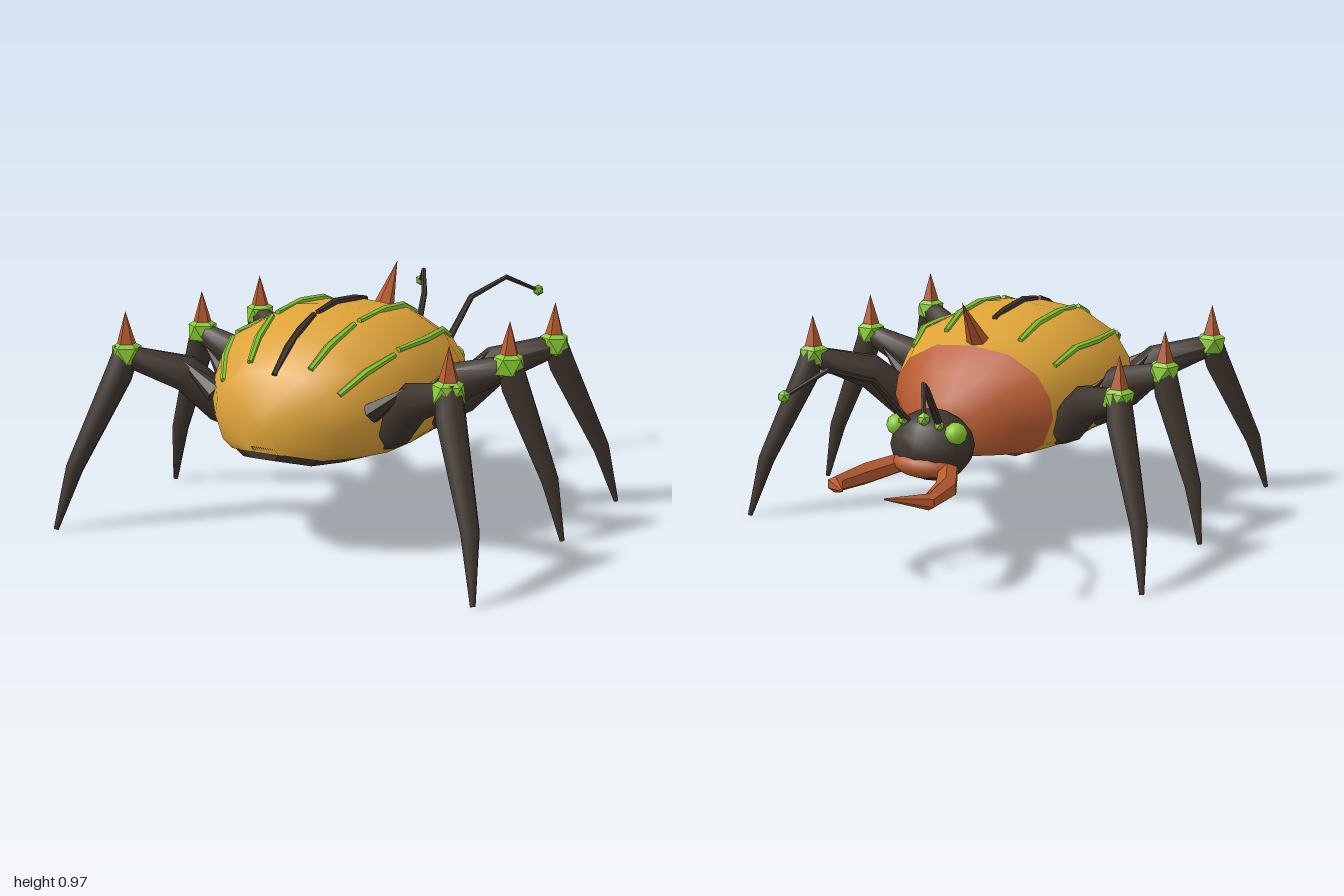
import * as THREE from 'three';
import { toCreasedNormals } from 'three/addons/utils/BufferGeometryUtils.js';

const V = (x, y, z) => new THREE.Vector3(x, y, z);
const mat = (name, color) => {
  const m = new THREE.MeshStandardMaterial({ color });
  m.name = name;
  return m;
};

// Skin closed loops of points (counter-clockwise about the path) and cap both ends
function skin(rings, crease) {
  const n = rings[0].length, pos = [], idx = [];
  rings.forEach(r => r.forEach(p => pos.push(p.x, p.y, p.z)));
  for (let i = 0; i < rings.length - 1; i++) {
    for (let j = 0; j < n; j++) {
      const k = (j + 1) % n, a = i * n + j, b = i * n + k, c = a + n, d = b + n;
      idx.push(a, b, d, a, d, c);
    }
  }
  [0, rings.length - 1].forEach(i => {
    const c = rings[i].reduce((s, p) => s.add(p), V(0, 0, 0)).divideScalar(n);
    const ci = pos.length / 3;
    pos.push(c.x, c.y, c.z);
    for (let j = 0; j < n; j++) {
      const a = i * n + j, b = i * n + (j + 1) % n;
      idx.push(ci, ...(i === 0 ? [b, a] : [a, b]));
    }
  });
  const g = new THREE.BufferGeometry();
  g.setAttribute('position', new THREE.Float32BufferAttribute(pos, 3));
  g.setIndex(idx);
  return toCreasedNormals(g, crease);
}

// Tapered, jointed tube through points
function limb(points, radii, sides, ref, crease = 0.6) {
  const rings = points.map((p, i) => {
    const prev = points[Math.max(i - 1, 0)], next = points[Math.min(i + 1, points.length - 1)];
    const t = next.clone().sub(prev).normalize();
    const u = ref.clone().cross(t).normalize(), v = t.clone().cross(u);
    return Array.from({ length: sides }, (_, j) => {
      const a = j / sides * Math.PI * 2;
      return p.clone().addScaledVector(u, Math.cos(a) * radii[i]).addScaledVector(v, Math.sin(a) * radii[i]);
    });
  });
  return skin(rings, crease);
}

// Body stations: z, half width, top, bottom
const BODY = [
  [-0.30, 0.14, 0.60, 0.39], [-0.20, 0.26, 0.70, 0.38], [-0.09, 0.365, 0.78, 0.37],
  [0.13, 0.45, 0.86, 0.365], [0.35, 0.455, 0.875, 0.36], [0.52, 0.44, 0.85, 0.36],
  [0.66, 0.37, 0.79, 0.365], [0.79, 0.27, 0.69, 0.375], [0.87, 0.08, 0.55, 0.40],
];
// Half cross-section of the dome: fraction of width, fraction of height
const DOME = [[0.73, 0], [0.88, 0.1], [1, 0.38], [0.96, 0.58], [0.8, 0.79], [0.45, 0.96], [0, 1]];

function domeRing([z, w, top, bot]) {
  const half = DOME.map(([x, y]) => V(x * w, bot + y * (top - bot), z));
  return [...half, ...half.slice(0, -1).reverse().map(p => V(-p.x, p.y, z))];
}

// Height of the dome above a point, so stripes follow the shell
function domeY(x, z) {
  const i = Math.max(1, BODY.findIndex(s => s[0] >= z));
  const a = BODY[i - 1], b = BODY[i], t = (z - a[0]) / (b[0] - a[0]);
  const [, w, top, bot] = a.map((v, k) => v + (b[k] - v) * t);
  const f = Math.abs(x) / w;
  let k = DOME.length - 1;
  while (k > 4 && DOME[k - 1][0] < f) k--;
  const p = DOME[k], q = DOME[k - 1];
  const h = p[1] + (q[1] - p[1]) * (f - p[0]) / (q[0] - p[0]);
  return bot + h * (top - bot);
}

export function createModel() {
  const model = new THREE.Group();
  model.name = 'beetle';
  const amber = mat('amber shell', 0xdea338);
  const rust = mat('rust horn', 0xb85c30);
  const dark = mat('dark brown', 0x40362f);
  const lime = mat('lime', 0x8acb35);
  const X = V(1, 0, 0), Z = V(0, 0, 1);

  const add = (name, geo, material, parent = model) => {
    const m = new THREE.Mesh(geo, material);
    m.name = name;
    parent.add(m);
    return m;
  };
  const spike = (name, base, tip, r, sides, material, parent) => {
    const d = tip.clone().sub(base);
    const g = toCreasedNormals(new THREE.ConeGeometry(r, d.length(), sides), 0.5);
    const m = add(name, g, material, parent);
    m.position.copy(base).addScaledVector(d, 0.5);
    m.quaternion.setFromUnitVectors(V(0, 1, 0), d.normalize());
  };
  // Faceted bead with one corner pointing straight up
  const bead = (name, p, r, material, detail = 0, parent = model) => {
    const g = new THREE.IcosahedronGeometry(r, detail).rotateX(-1.0172);
    add(name, g, material, parent).position.copy(p);
  };
  const ellipsoid = (name, p, s, material) => {
    const m = add(name, new THREE.SphereGeometry(1, 12, 8), material);
    m.position.copy(p);
    m.scale.copy(s);
  };

  // Body
  add('thorax', skin(BODY.slice(0, 3).map(domeRing), 0.8), rust);
  add('shell', skin(BODY.slice(2).map(domeRing), 0.8), amber);
  add('belly', skin(BODY.slice(2).map(([z, w, , b]) => [
    V(0.77 * w, b + 0.02, z), V(-0.77 * w, b + 0.02, z),
    V(-0.55 * w, b - 0.025, z), V(0.55 * w, b - 0.025, z),
  ]), 0.4), dark);
  spike('backHorn', V(0, 0.77, -0.03), V(0, 0.97, -0.17), 0.05, 6, rust);

  // Raised stripes on the shell, given as x, z pairs
  const stripe = (name, pts, material, r = 0.015) =>
    add(name, limb(pts.map(([x, z]) => V(x, domeY(x, z) + 0.006, z)),
      pts.map((_, i) => (i === 0 || i === pts.length - 1) ? r * 0.75 : r), 6, X), material);
  stripe('ridgeFront', [[0, 0.1], [0, 0.2], [0, 0.35], [0, 0.48]], dark);
  stripe('ridgeRear', [[0, 0.51], [0, 0.6], [0, 0.7], [0, 0.8]], dark);

  // Head
  ellipsoid('head', V(0, 0.455, -0.41), V(0.172, 0.14, 0.145), dark);
  ellipsoid('mouth', V(0, 0.4, -0.49), V(0.13, 0.055, 0.075), rust);

  for (const s of [1, -1]) {
    const side = s > 0 ? 'left' : 'right';
    const P = (x, y, z) => V(s * x, y, z);

    stripe(side + 'InnerStripeFront', [[s * 0.17, 0], [s * 0.182, 0.13], [s * 0.187, 0.3], [s * 0.18, 0.48]], lime);
    stripe(side + 'InnerStripeRear', [[s * 0.18, 0.52], [s * 0.155, 0.66], [s * 0.13, 0.76]], lime);
    stripe(side + 'OuterStripeFront', [[s * 0.325, 0], [s * 0.355, 0.13], [s * 0.37, 0.3], [s * 0.355, 0.5]], lime);
    stripe(side + 'OuterStripeRear', [[s * 0.355, 0.53], [s * 0.305, 0.66], [s * 0.25, 0.76]], lime);

    // Thorns along the flank
    [[0.06, 0.39, 0.52], [0.47, 0.42, 0.53], [0.68, 0.34, 0.52]].forEach(([z, x0, x1]) =>
      spike(side + 'Thorn', P(x0, 0.55, z), P(x1, 0.68, z), 0.042, 6, dark));

    // Face
    bead(side + 'Eye', P(0.13, 0.53, -0.455), 0.045, lime, 1);
    bead(side + 'SmallEye', P(0.08, 0.565, -0.495), 0.022, lime);
    add(side + 'Mandible', limb(
      [P(0.1, 0.385, -0.46), P(0.18, 0.368, -0.62), P(0.205, 0.372, -0.79), P(0.09, 0.402, -0.915)],
      [0.04, 0.044, 0.032, 0.003], 6, X), rust);
    add(side + 'Antenna', limb(
      [P(0.07, 0.55, -0.47), P(0.115, 0.755, -0.65), P(0.205, 0.825, -0.82), P(0.295, 0.75, -0.97)],
      [0.016, 0.013, 0.011, 0.008], 6, X), dark);
    bead(side + 'AntennaTip', P(0.295, 0.75, -0.972), 0.026, lime);

    // Legs: hip, knee and foot depth
    [['Front', 0.05, -0.2, -0.41], ['Middle', 0.27, 0.245, 0.18], ['Rear', 0.54, 0.765, 0.985]]
      .forEach(([place, hip, knee, foot]) => {
        const leg = new THREE.Group();
        leg.name = side + place + 'Leg';
        model.add(leg);
        const mix = t => hip + (knee - hip) * t;
        add('thigh', limb(
          [P(0.32, 0.43, hip), P(0.38, 0.48, mix(0.16)), P(0.5, 0.605, mix(0.48)), P(0.69, 0.675, knee)],
          [0.06, 0.078, 0.075, 0.045], 8, Z, 0.9), dark, leg);
        add('shin', limb(
          [P(0.69, 0.70, knee), P(0.715, 0.6, knee + (foot - knee) * 0.13),
            P(0.85, 0.24, knee + (foot - knee) * 0.68), P(0.897, 0.003, foot)],
          [0.05, 0.056, 0.035, 0.01], 8, Z, 0.9), dark, leg);
        bead('knee', P(0.692, 0.68, knee), 0.067, lime, 0, leg);
        spike('kneeSpike', P(0.692, 0.71, knee), P(0.692, 0.85, knee), 0.042, 5, rust, leg);
      });
  }
  return model;
}
